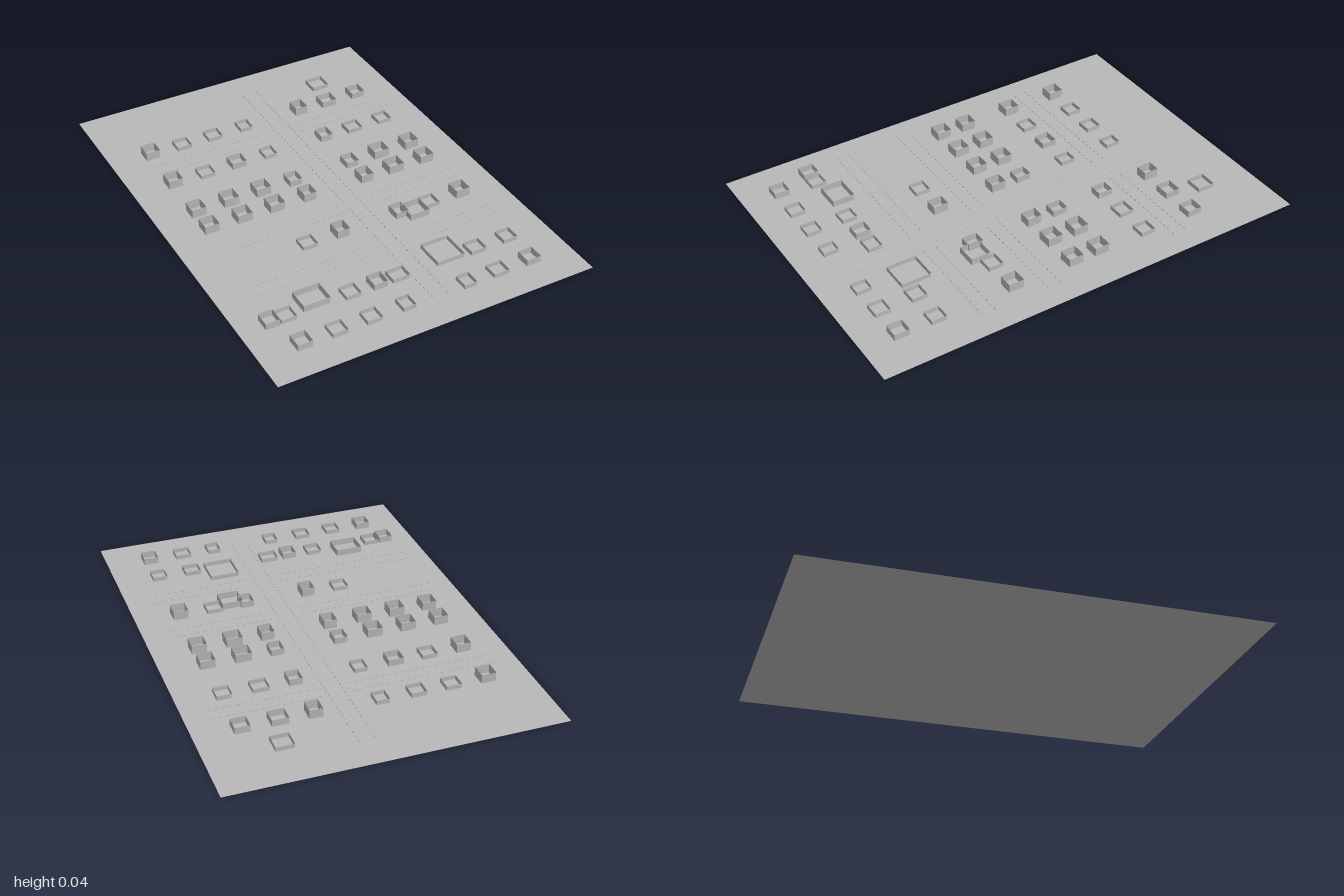
import * as THREE from 'three';

const LOW = 0.02, MID = 0.03, TALL = 0.04;

export function createModel() {
  const model = new THREE.Group();
  model.name = 'townPlan';
  const grey = new THREE.MeshStandardMaterial({ color: 0xb8b8b8, side: THREE.DoubleSide });
  grey.name = 'plain grey';

  // flat ground sheet
  const ground = new THREE.Mesh(new THREE.PlaneGeometry(1.45, 2).rotateX(-Math.PI / 2), grey);
  ground.name = 'ground';
  model.add(ground);

  // roofless building: four thin walls, unit sized and scaled per house
  const walls = new THREE.CylinderGeometry(Math.SQRT1_2, Math.SQRT1_2, 1, 4, 1, true)
    .rotateY(Math.PI / 4).translate(0, 0.5, 0).toNonIndexed();
  walls.computeVertexNormals();
  const buildings = new THREE.Group();
  buildings.name = 'buildings';
  model.add(buildings);
  function building(x, z, w, d, h) {
    const m = new THREE.Mesh(walls, grey);
    m.name = 'buildingWalls';
    m.position.set(x, 0, z);
    m.scale.set(w, h, d);
    buildings.add(m);
  }

  // seven plots per row; a height of 0 leaves the plot empty
  const plotX = [-0.535, -0.38, -0.225, -0.067, 0.22, 0.37, 0.527];
  const plotWidth = [0.065, 0.068, 0.068, 0.058, 0.058, 0.072, 0.066];
  function row(z, ...heights) {
    heights.forEach((h, i) => {
      if (h > 0) building(plotX[i], z, plotWidth[i], 0.068, h);
    });
  }
  row(-0.605, TALL, LOW, LOW, LOW, TALL, MID, MID);
  row(-0.358, TALL, LOW, MID, LOW, MID, LOW, LOW);
  row(-0.12, TALL, TALL, TALL, MID, MID, TALL, TALL);
  row(0.01, TALL, TALL, TALL, TALL, TALL, TALL, TALL);
  row(0.303, 0, 0, LOW, TALL, MID, LOW, TALL);
  row(0.663, 0, 0, LOW, 0, 0, LOW, LOW);
  row(0.83, MID, LOW, LOW, LOW, LOW, LOW, MID);

  // houses standing off the regular plots
  building(-0.588, 0.663, 0.063, 0.068, MID);
  building(-0.517, 0.663, 0.068, 0.068, LOW);
  building(-0.1, 0.663, 0.063, 0.068, MID);
  building(-0.003, 0.663, 0.078, 0.064, LOW);

  // larger enclosures
  building(0.405, -0.76, 0.08, 0.08, LOW);
  building(0.285, 0.33, 0.093, 0.09, MID);
  building(-0.38, 0.625, 0.12, 0.1, MID);
  building(0.24, 0.62, 0.13, 0.135, LOW);

  // low dashed kerbs along the streets
  const dash = new THREE.PlaneGeometry(0.015, 0.003).translate(0, 0.0015, 0);
  const kerbs = new THREE.Group();
  kerbs.name = 'streetKerbs';
  model.add(kerbs);
  function kerb(x, z, turn) {
    const m = new THREE.Mesh(dash, grey);
    m.name = 'kerbDash';
    m.position.set(x, 0, z);
    m.rotation.y = turn;
    kerbs.add(m);
  }
  for (const centre of [-0.48, 0.16, 0.47])
    for (const side of [-0.03, 0.03])
      for (let x = -0.62; x < 0.64; x += 0.03)
        if (x < 0.03 || x > 0.14) kerb(x, centre + side, 0);
  for (const x of [0.05, 0.12])
    for (let z = -0.84; z < 0.85; z += 0.03) kerb(x, z, Math.PI / 2);

  return model;
}
